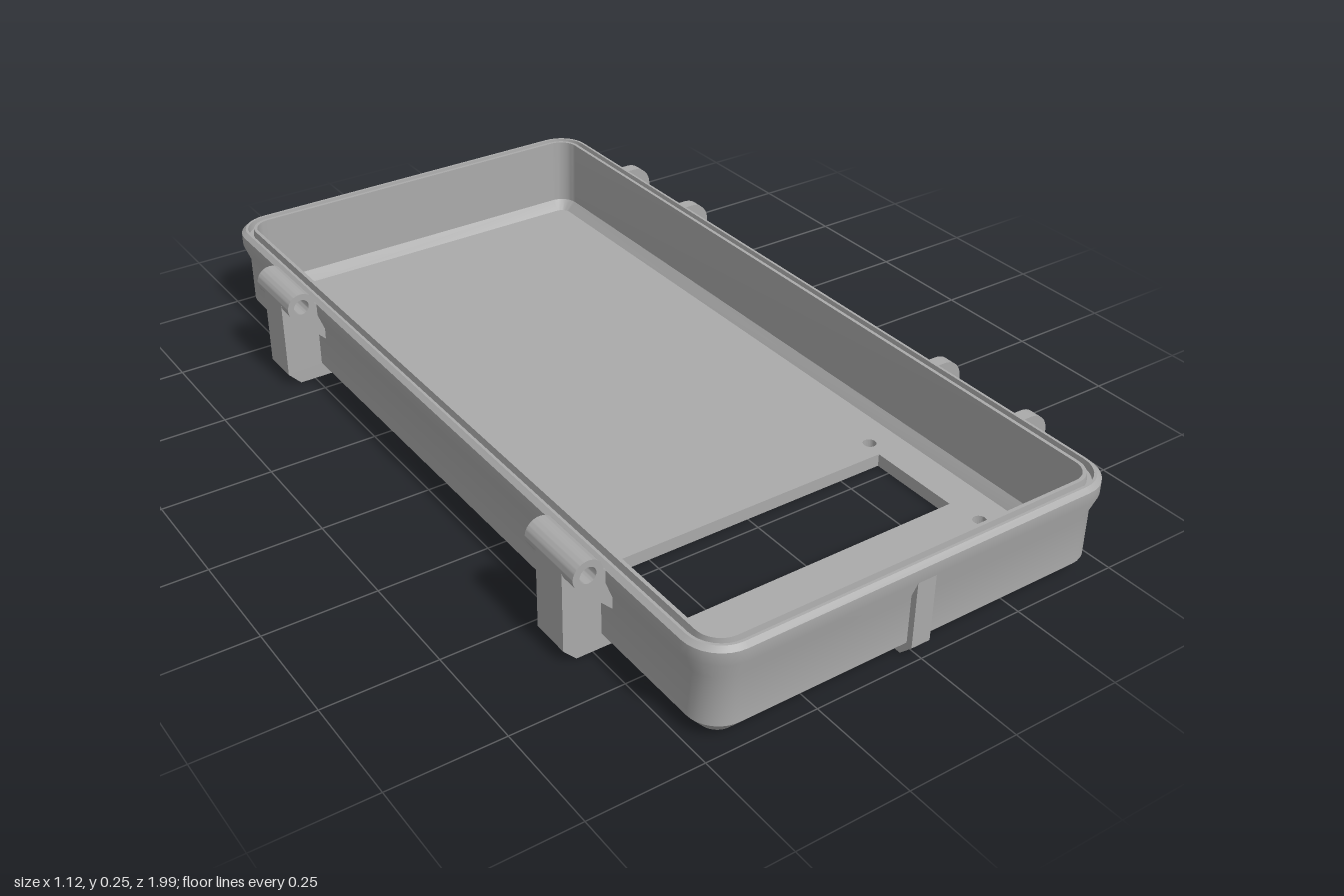
import * as THREE from 'three';
import { toCreasedNormals } from 'three/addons/utils/BufferGeometryUtils.js';

const plastic = new THREE.MeshStandardMaterial({ color: 0xaaaaaa });
plastic.name = 'grey plastic';

function add(parent, name, geometry) {
  const mesh = new THREE.Mesh(toCreasedNormals(geometry, 0.45), plastic);
  mesh.name = name;
  parent.add(mesh);
  return mesh;
}

// Rounded rectangle outline with half width a and half length a + 0.5
function outline(a, steps = 8) {
  const r = a - 0.412, pts = [];
  for (let q = 0; q < 4; q++) {
    const sx = q === 0 || q === 3 ? 1 : -1, sz = q < 2 ? 1 : -1;
    for (let i = 0; i <= steps; i++) {
      const t = (q + i / steps) * Math.PI / 2;
      pts.push(new THREE.Vector2(sx * (a - r) + r * Math.cos(t), sz * (a + 0.5 - r) + r * Math.sin(t)));
    }
  }
  return pts;
}

// Wall section swept around the rounded rectangle
function wallGeometry(profile) {
  const pos = [], index = [];
  const n = outline(0.48).length;
  profile.forEach(([a, y]) => outline(a).forEach(p => pos.push(p.x, y, p.y)));
  for (let i = 0; i < profile.length - 1; i++) {
    for (let j = 0; j < n; j++) {
      const k = (j + 1) % n;
      const a = i * n + j, b = i * n + k, c = a + n, d = b + n;
      index.push(a, c, b, b, c, d);
    }
  }
  const g = new THREE.BufferGeometry();
  g.setAttribute('position', new THREE.Float32BufferAttribute(pos, 3));
  g.setIndex(index);
  return g;
}

function circle(x, y, r) {
  return new THREE.Path().absarc(x, y, r, 0, Math.PI * 2, true);
}

// Plate in the xy plane, centred on z = 0
function plate(shape, depth) {
  return new THREE.ExtrudeGeometry(shape, { depth, bevelEnabled: false, curveSegments: 20 })
    .translate(0, 0, -depth / 2);
}

export function createModel() {
  const model = new THREE.Group();
  model.name = 'caseHalf';

  // Walls: bottom chamfer, flared rim, gasket groove, inner chamfer
  add(model, 'walls', wallGeometry([
    [0.44, 0], [0.45, 0], [0.48, 0.035], [0.48, 0.145], [0.495, 0.185], [0.495, 0.213],
    [0.485, 0.222], [0.479, 0.222], [0.477, 0.205], [0.467, 0.205], [0.465, 0.222],
    [0.457, 0.222], [0.455, 0.055], [0.437, 0.03],
  ]));

  // Floor with window and four screw holes
  const floor = new THREE.Shape(outline(0.442));
  floor.holes.push(new THREE.Path([
    new THREE.Vector2(-0.355, -0.465), new THREE.Vector2(0.355, -0.465),
    new THREE.Vector2(0.355, -0.688), new THREE.Vector2(-0.355, -0.688),
  ]));
  for (const x of [-0.367, 0.367]) {
    for (const z of [0.42, 0.765]) floor.holes.push(circle(x, -z, 0.015));
  }
  add(model, 'floor', new THREE.ExtrudeGeometry(floor, { depth: 0.03, bevelEnabled: false })
    .rotateX(-Math.PI / 2));

  // Latch ears on the left side
  const ear = new THREE.Shape();
  ear.moveTo(0.449, 0);
  ear.lineTo(0.532, 0);
  ear.lineTo(0.56, 0.03);
  ear.lineTo(0.56, 0.165);
  ear.absarc(0.51, 0.165, 0.05, 0, Math.PI / 2, false);
  ear.lineTo(0.49, 0.215);
  ear.lineTo(0.49, 0.18);
  ear.lineTo(0.476, 0.14);
  ear.lineTo(0.476, 0.033);
  ear.holes.push(circle(0.518, 0.14, 0.016));
  for (const z of [-0.724, -0.466, 0.464, 0.722]) {
    add(model, 'latchEar', plate(ear, 0.03)).position.z = z;
  }

  // Hinge knuckles on the right side, each on a gusset and a support rib
  const cx = -0.532, cy = 0.217, r = 0.033, s = Math.SQRT1_2 * r;
  const knuckle = new THREE.Shape();
  knuckle.moveTo(-0.478, 0.117);
  knuckle.lineTo(-0.478, 0.15);
  knuckle.lineTo(-0.492, 0.185);
  knuckle.lineTo(-0.492, 0.213);
  knuckle.lineTo(cx + r, cy);
  knuckle.absarc(cx, cy, r, 0, Math.PI * 1.25, false);
  knuckle.lineTo(-0.478, cy - s - (-0.478 - cx + s));
  knuckle.holes.push(circle(cx, cy, 0.018));

  const rib = new THREE.Shape();
  rib.moveTo(-0.449, 0);
  rib.lineTo(-0.476, 0.033);
  rib.lineTo(-0.476, 0.13);
  rib.lineTo(cx - s + 0.004, cy - s + 0.002);
  rib.lineTo(-0.565, cy);
  rib.lineTo(-0.565, 0.03);
  rib.lineTo(-0.536, 0);

  for (const z of [-0.597, 0.595]) {
    const hinge = new THREE.Group();
    hinge.name = 'hinge';
    hinge.position.z = z;
    add(hinge, 'hingeKnuckle', plate(knuckle, 0.165));
    add(hinge, 'hingeRib', plate(rib, 0.09));
    model.add(hinge);
  }

  // Centre ribs on the two short ends
  const endRib = new THREE.Shape();
  endRib.moveTo(0.945, 0);
  endRib.lineTo(0.965, 0);
  endRib.lineTo(0.994, 0.03);
  endRib.lineTo(0.994, 0.188);
  endRib.lineTo(0.976, 0.145);
  endRib.lineTo(0.976, 0.033);
  for (const side of [-1, 1]) {
    add(model, 'endRib', plate(endRib, 0.045)).rotation.y = side * Math.PI / 2;
  }
  return model;
}
